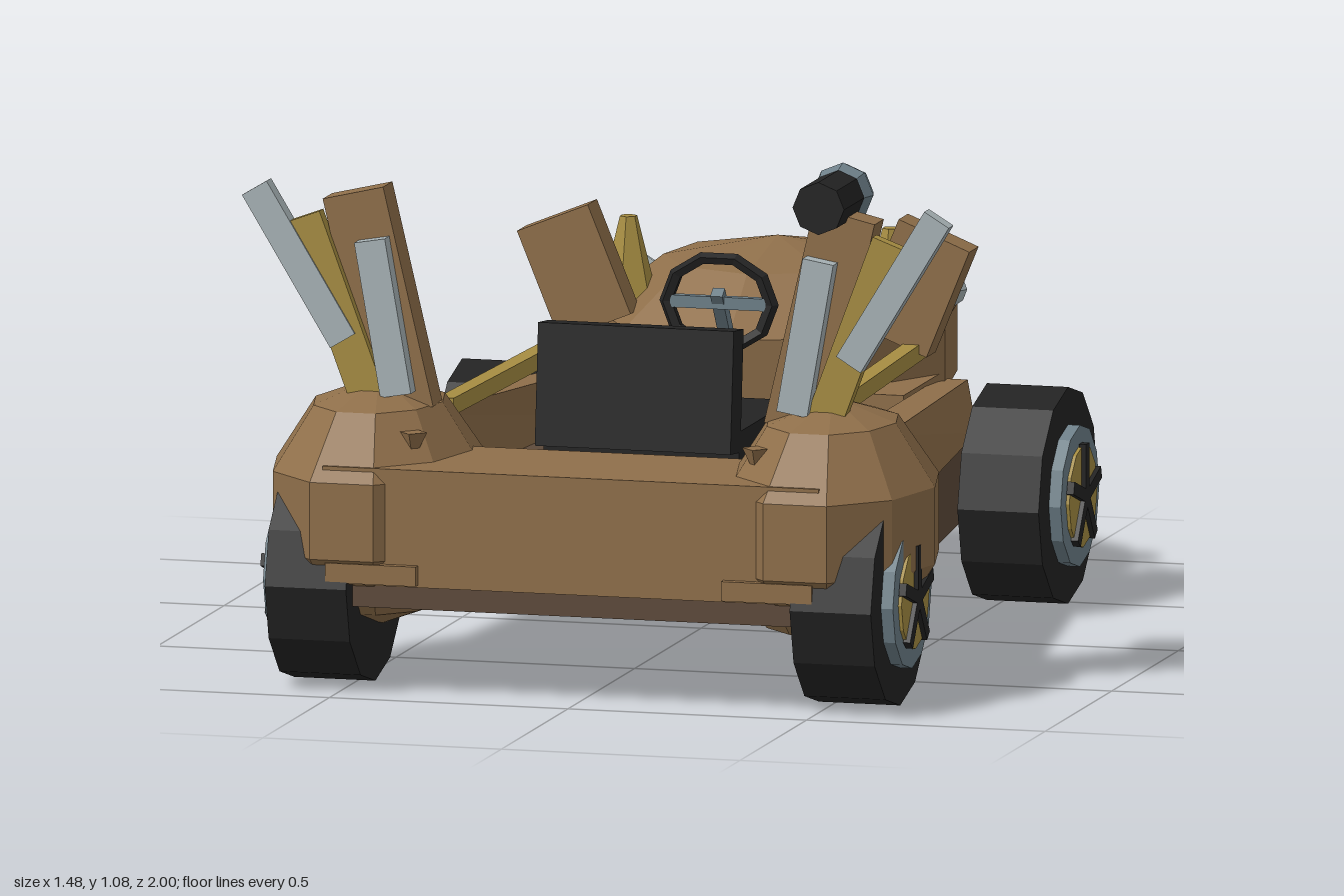
import * as THREE from 'three';

const mat = (name, color, extra = {}) => {
  const m = new THREE.MeshStandardMaterial({ color, flatShading: true, ...extra });
  m.name = name;
  return m;
};

export function createModel() {
  const body = mat('body brown', 0x8f6f4a);
  const dark = mat('chassis brown', 0x5e4a3a);
  const black = mat('black rubber', 0x232323);
  const gold = mat('brass', 0xa68d42);
  const steel = mat('blue steel', 0x6e8089);
  const silver = mat('silver', 0xa8b3b6);

  const kart = new THREE.Group();
  kart.name = 'kart';

  const add = (name, geo, material, x = 0, y = 0, z = 0, parent = kart) => {
    const m = new THREE.Mesh(geo, material);
    m.name = name;
    m.position.set(x, y, z);
    parent.add(m);
    return m;
  };
  const box = (name, material, w, h, d, x, y, z, parent) =>
    add(name, new THREE.BoxGeometry(w, h, d), material, x, y, z, parent);

  // plan outline [x, z] raised from y0 to y1
  const prism = (points, y0, y1) => {
    const shape = new THREE.Shape(points.map(([x, z]) => new THREE.Vector2(x, -z)));
    return new THREE.ExtrudeGeometry(shape, { depth: y1 - y0, bevelEnabled: false })
      .rotateX(-Math.PI / 2).translate(0, y0, 0);
  };
  const reshape = (geo, rule) => {
    const p = geo.attributes.position;
    const v = new THREE.Vector3();
    for (let i = 0; i < p.count; i++) {
      v.fromBufferAttribute(p, i);
      rule(v);
      p.setXYZ(i, v.x, v.y, v.z);
    }
    geo.computeVertexNormals();
    return geo;
  };
  // bar standing between two points in the x-y plane
  const bar = (name, material, a, b, width, depth, z) => {
    const dx = b[0] - a[0], dy = b[1] - a[1];
    const m = box(name, material, width, Math.hypot(dx, dy), depth, (a[0] + b[0]) / 2, (a[1] + b[1]) / 2, z);
    m.rotation.z = -Math.atan2(dx, dy);
    return m;
  };

  // chassis with a pointed nose
  add('chassis', prism([[0, -0.89], [0.42, -0.6], [0.53, 0.44], [0.53, 0.95],
    [-0.53, 0.95], [-0.53, 0.44], [-0.42, -0.6]], 0.18, 0.33), dark);
  add('noseBumper', reshape(prism([[-0.155, -1], [0.155, -1], [0.17, -0.6], [-0.17, -0.6]], 0.3, 0.43),
    (v) => { if (v.y > 0.4 && v.z < -0.9) { v.z += 0.025; v.y -= 0.01; } }), dark);

  // hood, cowl and rear deck
  add('hood', new THREE.SphereGeometry(1, 9, 5).rotateY(Math.PI / 2).scale(0.394, 0.224, 0.394),
    body, 0, 0.487, -0.575);
  box('cowl', body, 0.72, 0.14, 0.3, 0, 0.385, -0.38);
  box('rearDeck', body, 1.04, 0.24, 0.31, 0, 0.35, 0.825);

  // seat
  box('seatBase', black, 0.41, 0.15, 0.4, 0, 0.41, 0.25);
  const back = box('seatBack', black, 0.41, 0.25, 0.075, 0, 0.57, 0.465);
  back.rotation.x = -0.1;
  box('seatPad', body, 0.31, 0.13, 0.03, 0, 0.01, -0.045, back);

  // steering wheel
  add('steeringWheel', new THREE.TorusGeometry(0.11, 0.015, 5, 10).scale(1, 0.85, 1), black, 0, 0.645, -0.135);
  box('steeringSpoke', steel, 0.2, 0.025, 0.02, 0, 0.645, -0.135);
  const column = box('steeringColumn', steel, 0.025, 0.2, 0.025, 0, 0.585, -0.18);
  column.rotation.x = 0.6;

  // wheel built along +x, turned round for the other side
  const disc = (r, w, n) => new THREE.CylinderGeometry(r, r, w, n).rotateZ(Math.PI / 2);
  const wheel = (s, z) => {
    const g = new THREE.Group();
    g.name = 'wheel';
    g.position.set(s * 0.55, 0.222, z);
    if (s < 0) g.rotation.y = Math.PI;
    add('tyre', disc(0.222, 0.17, 12), black, 0, 0, 0, g);
    add('rim', disc(0.145, 0.03, 12), steel, 0.095, 0, 0, g);
    add('hubcap', disc(0.105, 0.01, 12), gold, 0.112, 0, 0, g);
    for (let i = 0; i < 5; i++) {
      const a = (i * Math.PI * 2) / 5;
      const spoke = box('spoke', black, 0.015, 0.11, 0.026, 0.119, 0.053 * Math.cos(a), 0.053 * Math.sin(a), g);
      spoke.rotation.x = a;
    }
    kart.add(g);
  };

  for (const s of [1, -1]) {
    wheel(s, -0.48);
    wheel(s, 0.78);
    box('axle', dark, 0.12, 0.05, 0.05, s * 0.43, 0.22, -0.48);

    // sloping side wall and the brass rail above it
    const wall = [[0.425, -0.55], [0.545, 0.5], [0.465, 0.5], [0.365, -0.55]];
    add('sideWall', reshape(prism(wall.map(([x, z]) => [s * x, z]), 0.33, 0.47), (v) => {
      if (v.y > 0.4) { v.y = 0.47 + 0.06 * v.z; v.x -= s * 0.02; }
    }), body);
    const rail = [[0.33, -0.43], [0.365, -0.43], [0.4, 0.55], [0.365, 0.55]];
    add('rail', prism(rail.map(([x, z]) => [s * x, z]), 0.51, 0.545), gold);

    // rear fender
    add('fender', new THREE.SphereGeometry(1, 10, 5).scale(0.226, 0.255, 0.315), body, s * 0.475, 0.36, 0.715);
    box('fenderBracket', body, 0.19, 0.04, 0.06, s * 0.415, 0.255, 0.968);
    const spike = add('fenderSpike', new THREE.ConeGeometry(0.03, 0.06, 4), body, s * 0.36, 0.5, 0.875);
    spike.rotation.x = Math.PI;

    // fan of bars above the fender
    bar('brownPost', body, [s * 0.41, 0.55], [s * 0.515, 0.995], 0.13, 0.07, 0.735);
    bar('brassBar', gold, [s * 0.475, 0.57], [s * 0.615, 0.945], 0.075, 0.03, 0.775);
    bar('shortSilverBar', silver, [s * 0.415, 0.59], [s * 0.47, 0.905], 0.065, 0.035, 0.79);
    bar('longSilverBar', silver, [s * 0.53, 0.695], [s * 0.715, 1.0], 0.06, 0.035, 0.777);

    // hood fittings
    bar('hoodPost', body, [s * 0.31, 0.55], [s * 0.4, 0.77], 0.16, 0.07, -0.35);
    add('horn', new THREE.CylinderGeometry(0.018, 0.068, 0.2, 6), gold, s * 0.275, 0.66, -0.44);
    add('headlamp', new THREE.SphereGeometry(1, 8, 6).scale(0.066, 0.045, 0.066), silver, s * 0.32, 0.61, -0.615);
  }

  // scope on one post only
  add('scopeTube', new THREE.CylinderGeometry(0.054, 0.054, 0.18, 8).rotateX(Math.PI / 2), black, 0.48, 1.02, 0.75);
  add('scopeBall', new THREE.SphereGeometry(0.064, 8, 6).rotateX(Math.PI / 2), steel, 0.48, 1.02, 0.655);

  return kart;
}
